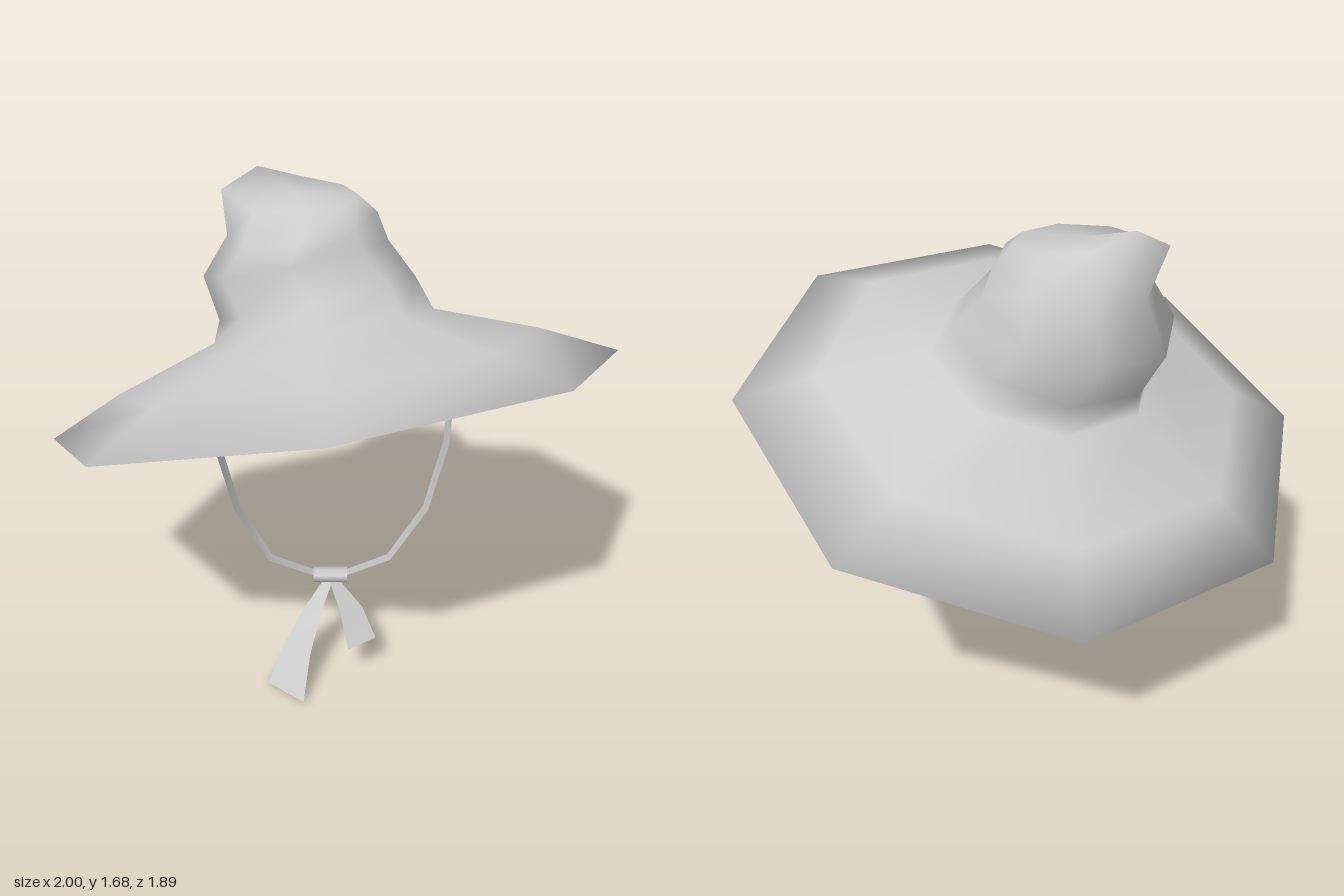
import * as THREE from 'three';

const SIDES = 8;

// Tilted octagonal loop: centre, radii in x and z, and slope of its plane along x and z
function loop(cx, cy, cz, rx, rz, sx, sz) {
  const pts = [];
  for (let i = 0; i < SIDES; i++) {
    const a = (i / SIDES) * Math.PI * 2;
    const dx = rx * (Math.sin(a) - 0.015 * Math.cos(a));
    const dz = rz * Math.cos(a) - 0.05 * rx * Math.sin(a);
    pts.push([cx + dx, cy + sx * dx + sz * dz, cz + dz]);
  }
  return pts;
}

// Closed smooth skin through the loops, with a centre point at each end
function loft(loops, bottom, top) {
  const pos = [...loops.flat(), bottom, top].flat();
  const b = loops.length * SIDES, t = b + 1, last = b - SIDES;
  const index = [];
  for (let i = 0; i < SIDES; i++) {
    const j = (i + 1) % SIDES;
    for (let r = 0; r < last; r += SIDES) {
      index.push(r + i, r + j, r + SIDES + j, r + i, r + SIDES + j, r + SIDES + i);
    }
    index.push(j, i, b, last + i, last + j, t);
  }
  return finish(pos, index);
}

// Flat band between pairs of edge points
function ribbon(rows) {
  const index = [];
  for (let i = 0; i < rows.length - 1; i++) {
    const k = i * 2;
    index.push(k, k + 2, k + 1, k + 1, k + 2, k + 3);
  }
  return finish(rows.flat(2), index);
}

function finish(pos, index) {
  const g = new THREE.BufferGeometry();
  g.setAttribute('position', new THREE.Float32BufferAttribute(pos, 3));
  g.setIndex(index);
  g.computeVertexNormals();
  return g;
}

export function createModel() {
  const group = new THREE.Group();
  const solid = new THREE.MeshStandardMaterial({ color: 0xcccccc });
  const thin = new THREE.MeshStandardMaterial({ color: 0xcccccc, side: THREE.DoubleSide });
  const add = (name, geometry, material) => {
    const mesh = new THREE.Mesh(geometry, material);
    mesh.name = name;
    group.add(mesh);
    return mesh;
  };

  // Brim and slouching crown in one skin, slightly hollow underneath
  const rim = loop(0, 0.945, 0, 1.0, 0.945, 0.17, 0.312);
  const crumpledTop = [
    [-0.1, 1.61, 0.01], [0.03, 1.61, -0.05], [0.085, 1.615, -0.18], [0.03, 1.62, -0.3],
    [-0.12, 1.635, -0.36], [-0.27, 1.68, -0.32], [-0.395, 1.61, -0.27], [-0.27, 1.6, -0.02],
  ];
  const hat = loft([
    rim,
    loop(-0.018, 1.058, -0.035, 0.745, 0.705, 0.17, 0.312), // upper brim
    loop(-0.036, 1.175, -0.08, 0.385, 0.36, 0.17, 0.312),   // foot of the crown
    loop(-0.06, 1.26, -0.13, 0.345, 0.31, 0.24, 0.31),      // neck
    loop(-0.135, 1.39, -0.18, 0.325, 0.325, 0.2, 0.23),     // bulge
    loop(-0.11, 1.515, -0.18, 0.26, 0.3, 0.15, 0.05),       // dent
    crumpledTop,
  ], [-0.013, 1.03, -0.027], [-0.13, 1.625, -0.18]);

  // Round the shading over the rim: its normals point straight outward
  rim.forEach(([x, y, z], i) => {
    const n = new THREE.Vector3(x, y - 0.945, z).normalize();
    hat.attributes.normal.setXYZ(i, n.x, n.y, n.z);
  });
  add('crownAndBrim', hat, solid);

  // Chin straps hang in one slanted plane; their front edge flares outward
  const strapRow = ([x, y]) => {
    const z = 0.305 * (1.06 - y);
    return [[x * 1.018, y + 0.011, z + 0.035], [x * 0.982, y - 0.011, z - 0.035]];
  };
  const straps = {
    leftStrap: [[0.42, 1.055], [0.4, 0.8], [0.33, 0.57], [0.2, 0.395], [0.03, 0.333]],
    rightStrap: [[-0.425, 0.92], [-0.41, 0.78], [-0.345, 0.57], [-0.225, 0.39], [-0.05, 0.333]],
  };
  for (const [name, path] of Object.entries(straps)) add(name, ribbon(path.map(strapRow)), thin);

  // Flattened knot
  const knotShape = new THREE.CylinderGeometry(1, 1, 0.12, 8);
  knotShape.rotateZ(Math.PI / 2).rotateX(Math.PI / 8).scale(1, 0.025, 0.05).rotateX(-0.29);
  add('knot', knotShape, solid).position.set(-0.01, 0.332, 0.222);

  // Loose tails below the knot
  add('longTail', ribbon([
    [[-0.025, 0.32, 0.215], [0, 0.32, 0.235]],
    [[-0.105, 0.21, 0.26], [-0.045, 0.21, 0.3]],
    [[-0.18, 0.1, 0.335], [-0.08, 0.12, 0.42]],
    [[-0.23, 0, 0.42], [-0.1, 0.015, 0.54]],
  ]), thin);
  add('shortTail', ribbon([
    [[-0.015, 0.32, 0.235], [0.01, 0.32, 0.215]],
    [[0.025, 0.23, 0.305], [0.105, 0.215, 0.255]],
    [[0.055, 0.142, 0.41], [0.155, 0.133, 0.33]],
  ]), thin);

  return group;
}
